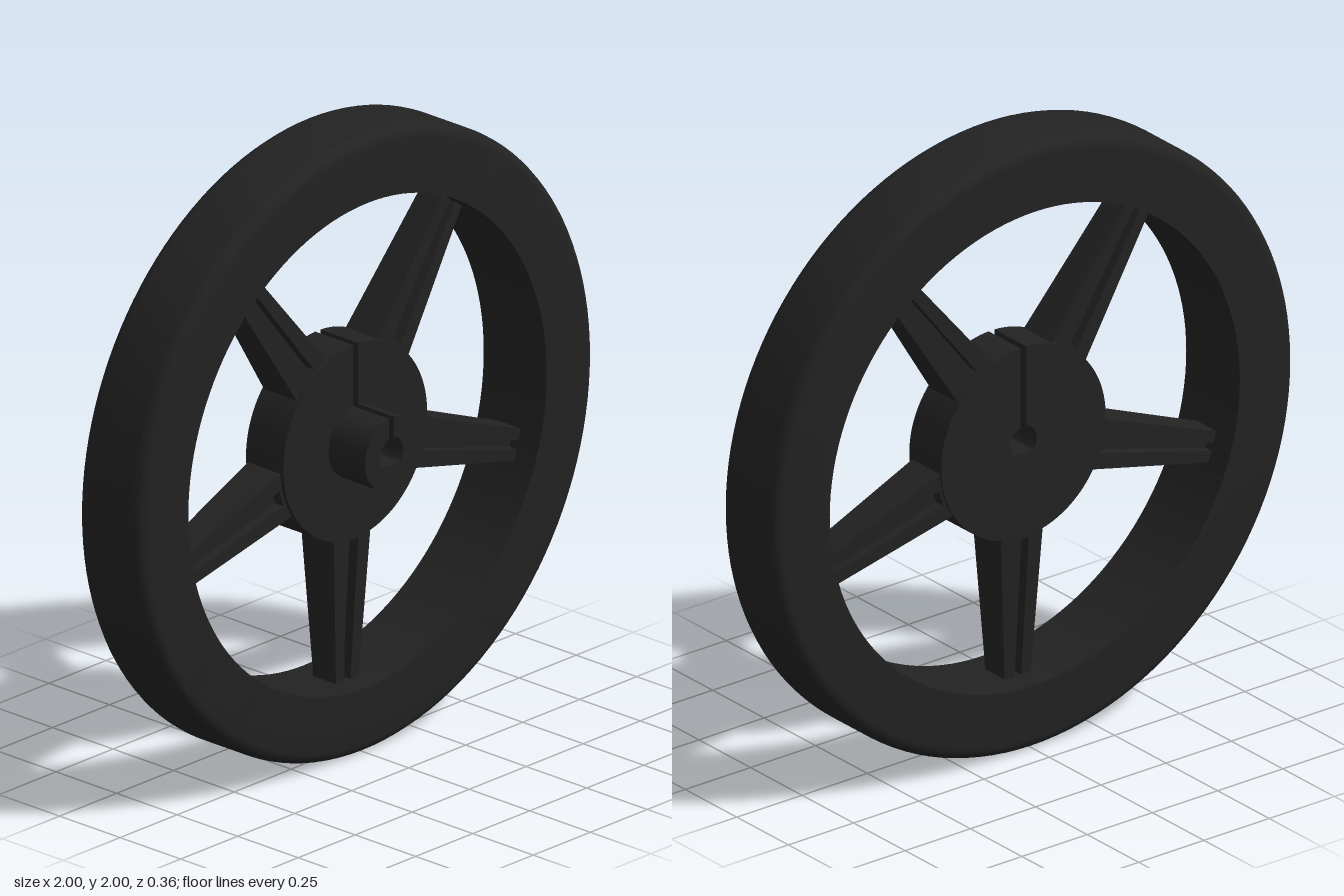
import * as THREE from 'three';
import { toCreasedNormals } from 'three/addons/utils/BufferGeometryUtils.js';

const RIM_BACK = -0.18, RIM_FRONT = 0.08, MID = -0.05;
const HUB_BACK = -0.125, HUB_FRONT = 0.03, BOSS_FRONT = 0.18;

// Disc with a D-shaped bore and a slot running from the bore out through the top
function slottedDisc(radius, z0, z1) {
  const bore = 0.051, half = 0.011, flat = Math.asin(0.7);
  const outer = Math.asin(half / radius), inner = Math.asin(half / bore), up = Math.PI / 2;
  const shape = new THREE.Shape();
  shape.absarc(0, 0, radius, up + outer, up + 2 * Math.PI - outer, false);
  shape.absarc(0, 0, bore, up - inner, -flat, true);
  shape.absarc(0, 0, bore, Math.PI + flat, up + inner, true);
  shape.closePath();
  const geo = new THREE.ExtrudeGeometry(shape, { depth: z1 - z0, bevelEnabled: false, curveSegments: 64 });
  geo.translate(0, 0, z0);
  return toCreasedNormals(geo, 0.6);
}

// Rim: rounded outer corners, sharp inner edges
function rimGeometry() {
  const r = 0.04, inner = 0.786, pts = [new THREE.Vector2(inner, RIM_BACK)];
  for (const [cz, start] of [[RIM_BACK + r, -Math.PI / 2], [RIM_FRONT - r, 0]]) {
    for (let i = 0; i <= 6; i++) {
      const a = start + (i / 6) * Math.PI / 2;
      pts.push(new THREE.Vector2(1 - r + r * Math.cos(a), cz + r * Math.sin(a)));
    }
  }
  pts.push(new THREE.Vector2(inner, RIM_FRONT), new THREE.Vector2(inner, RIM_BACK));
  const geo = new THREE.LatheGeometry(pts, 128);
  geo.rotateX(Math.PI / 2);
  return toCreasedNormals(geo, 0.6);
}

// Tapered spoke along +y, lofted from H-shaped sections: a groove on front and back
function spokeGeometry() {
  const r0 = 0.28, r1 = 0.8;
  const section = (y, depth) => {
    const k = (y - r0) / (r1 - r0), mix = (a, b) => a + (b - a) * k;
    const w = mix(0.082, 0.049), t = mix(0.068, 0.046), p = mix(0.029, 0.013), q = t - depth;
    return [[w, t], [w, -t], [p, -t], [p, -q], [-p, -q], [-p, -t],
      [-w, -t], [-w, t], [-p, t], [-p, q], [p, q], [p, t]].map(([x, z]) => [x, y, z]);
  };
  const rings = [section(r0, 0), section(0.325, 0), section(0.325, 0.035), section(r1, 0.03)];
  const n = rings[0].length, index = [];
  for (let i = 0; i < rings.length - 1; i++) {
    for (let j = 0; j < n; j++) {
      const a = i * n + j, b = i * n + (j + 1) % n;
      index.push(a, b, b + n, a, b + n, a + n);
    }
  }
  let geo = new THREE.BufferGeometry();
  geo.setAttribute('position', new THREE.Float32BufferAttribute(rings.flat(2), 3));
  geo.setIndex(index);
  geo = geo.toNonIndexed();
  geo.computeVertexNormals();
  return geo;
}

export function createModel() {
  const wheel = new THREE.Group();
  wheel.name = 'spokedWheel';
  const black = new THREE.MeshStandardMaterial({ color: 0x222222 });
  const add = (name, geo) => {
    const mesh = new THREE.Mesh(geo, black);
    mesh.name = name;
    mesh.position.y = 1;
    wheel.add(mesh);
    return mesh;
  };

  add('rim', rimGeometry());
  add('hub', slottedDisc(0.315, HUB_BACK, HUB_FRONT));
  add('hubBoss', slottedDisc(0.117, HUB_FRONT, BOSS_FRONT));

  // Five spokes, the first pointing straight down
  const spoke = spokeGeometry();
  for (let i = 0; i < 5; i++) {
    const mesh = add(`spoke${i + 1}`, spoke);
    mesh.position.z = MID;
    mesh.rotation.z = Math.PI + (i / 5) * Math.PI * 2;
  }

  // Centre the depth on z = 0 while keeping the wheel's own offsets
  wheel.position.z = 0;
  return wheel;
}
